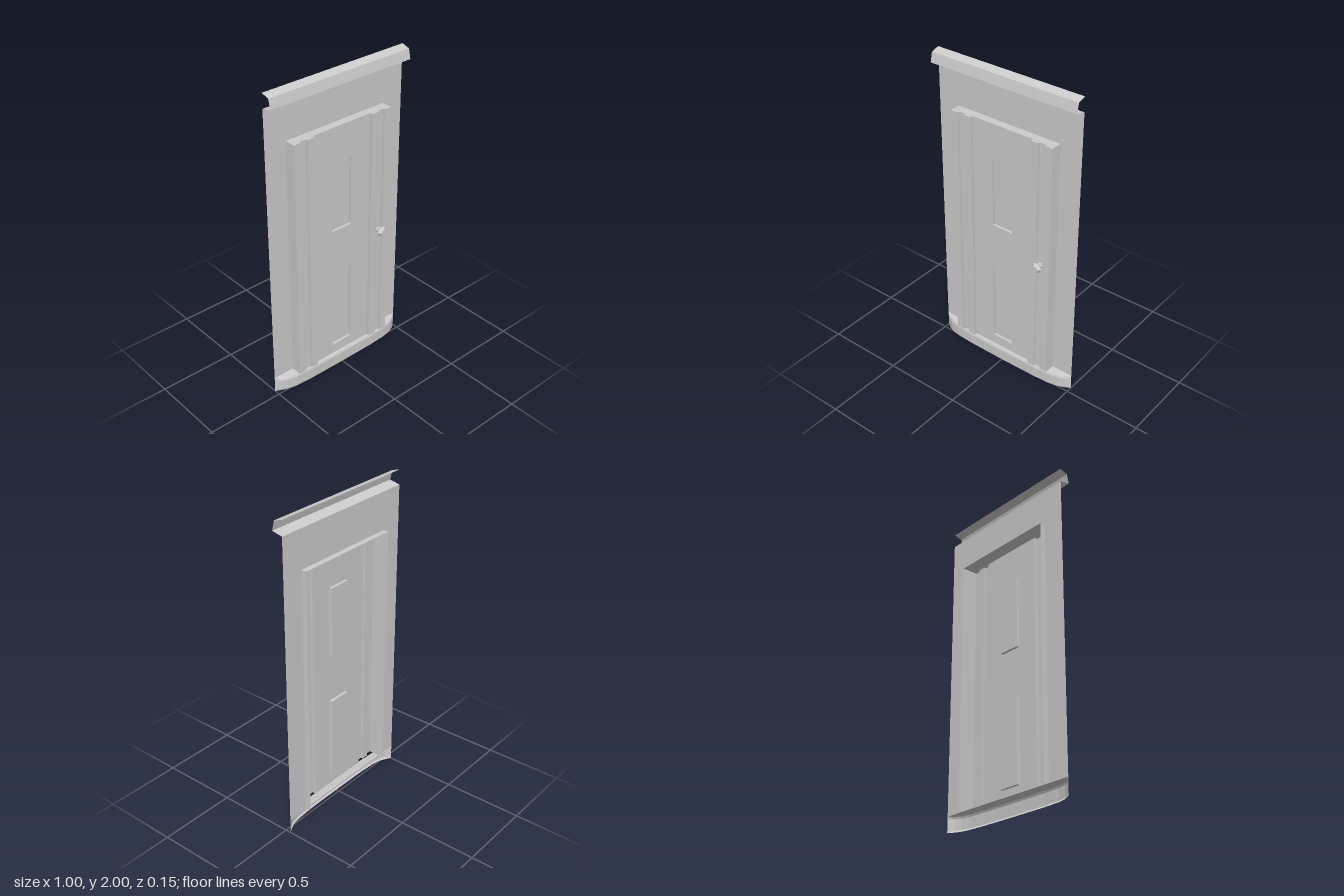
import * as THREE from 'three';

const material = new THREE.MeshStandardMaterial({ color: 0xcccccc, side: THREE.DoubleSide, flatShading: true });

const WALL_Z = -0.038, BASE_Y = 0.1, FRAME_Y = 1.675, FRAME_X = 0.357;
const RIDGE_Z = 0.032, GROOVE_Z = 0.018, DOOR_Z = 0.012, RECESS_Z = -0.006;

function mesh(name, geometry) {
  const m = new THREE.Mesh(geometry, material);
  m.name = name;
  return m;
}

// Flat-shaded sheet through rows of [x, y, z] points
function sheet(rows) {
  const n = rows[0].length, index = [];
  for (let r = 0; r < rows.length - 1; r++) {
    for (let i = 0; i < n - 1; i++) {
      const a = r * n + i, b = a + n;
      index.push(a, b, b + 1, a, b + 1, a + 1);
    }
  }
  let g = new THREE.BufferGeometry();
  g.setAttribute('position', new THREE.Float32BufferAttribute(rows.flat(2), 3));
  g.setIndex(index);
  g = g.toNonIndexed();
  g.computeVertexNormals();
  return g;
}

function rect(x0, y0, x1, y1, Type = THREE.Shape) {
  return new Type([[x0, y0], [x1, y0], [x1, y1], [x0, y1]].map(p => new THREE.Vector2(...p)));
}

// Flat rectangle with rectangular openings, facing the front
function plate(outer, holes, z) {
  const s = rect(...outer);
  s.holes = holes.map(h => rect(...h, THREE.Path));
  return new THREE.ShapeGeometry(s).translate(0, 0, z);
}

export function createModel() {
  const group = new THREE.Group();
  group.name = 'doorWall';

  // Thin wall with the door opening
  group.add(mesh('wall', plate([-0.5, BASE_Y - 0.002, 0.5, 1.91],
    [[-FRAME_X, BASE_Y, FRAME_X, FRAME_Y]], WALL_Z)));

  // Cornice: open strip along the top
  const cornice = [[2, WALL_Z], [1.985, 0.015], [1.925, 0.029], [1.91, WALL_Z]];
  group.add(mesh('cornice', sheet(cornice.map(([y, z]) => [[-0.5, y, z], [0.5, y, z]]))));

  // Bowed step, hollow at the back and below
  const half = [[0.5, WALL_Z], [0.47, -0.012], [0.43, 0.008], [0.37, 0.02], [0.25, 0.027], [0, 0.029]];
  const bow = [...half.map(([x, z]) => [-x, z]), ...half.slice(0, -1).reverse()];
  const stepRow = (y, inset) => bow.map(([x, z]) => [x, y, Math.max(WALL_Z, z - inset)]);
  group.add(mesh('step', sheet([
    bow.map(([x]) => [x, BASE_Y, WALL_Z]),
    stepRow(0.092, 0.005), stepRow(0.08, 0), stepRow(0.012, 0), stepRow(0, 0.008),
  ])));

  // Fluted door frame, a hollow shell running through the wall
  const side = [
    [FRAME_X, -0.073], [FRAME_X, RIDGE_Z], [0.308, RIDGE_Z], [0.308, GROOVE_Z],
    [0.262, GROOVE_Z], [0.262, RIDGE_Z], [0.213, RIDGE_Z], [0.213, DOOR_Z],
  ];
  for (const s of [-1, 1]) {
    const profile = side.map(([x, z]) => [x * s, z]);
    if (s > 0) profile.reverse();
    group.add(mesh(s > 0 ? 'frameLeft' : 'frameRight', sheet(
      [FRAME_Y, BASE_Y].map(y => profile.map(([x, z]) => [x, y, z])))));
  }
  const plan = [...side.map(([x, z]) => [-x, z]), ...[...side].reverse()];
  const top = new THREE.ShapeGeometry(new THREE.Shape(plan.map(([x, z]) => new THREE.Vector2(x, -z))));
  group.add(mesh('frameTop', top.rotateX(-Math.PI / 2).translate(0, FRAME_Y, 0)));

  // Door leaf with two recessed panels
  const panels = [[-0.072, 1.0, 0.072, 1.45], [-0.072, 0.165, 0.072, 0.705]];
  group.add(mesh('doorLeaf', plate([-0.213, BASE_Y, 0.213, FRAME_Y], panels, DOOR_Z)));
  for (const p of panels) {
    const [x0, y0, x1, y1] = p;
    const ring = z => [[x0, y0, z], [x0, y1, z], [x1, y1, z], [x1, y0, z], [x0, y0, z]];
    group.add(mesh('panelEdge', sheet([ring(DOOR_Z), ring(RECESS_Z)])));
    group.add(mesh('panel', plate(p, [], RECESS_Z)));
  }

  // Six-sided knob
  const knobProfile = [[0.018, 0], [0.016, 0.017], [0.033, 0.034], [0.033, 0.038], [0.02, 0.055], [0, 0.055]];
  const knob = new THREE.LatheGeometry(knobProfile.map(p => new THREE.Vector2(...p)), 6, Math.PI / 2);
  group.add(mesh('knob', knob.rotateX(Math.PI / 2).translate(0.285, 0.875, GROOVE_Z)));

  return group;
}
